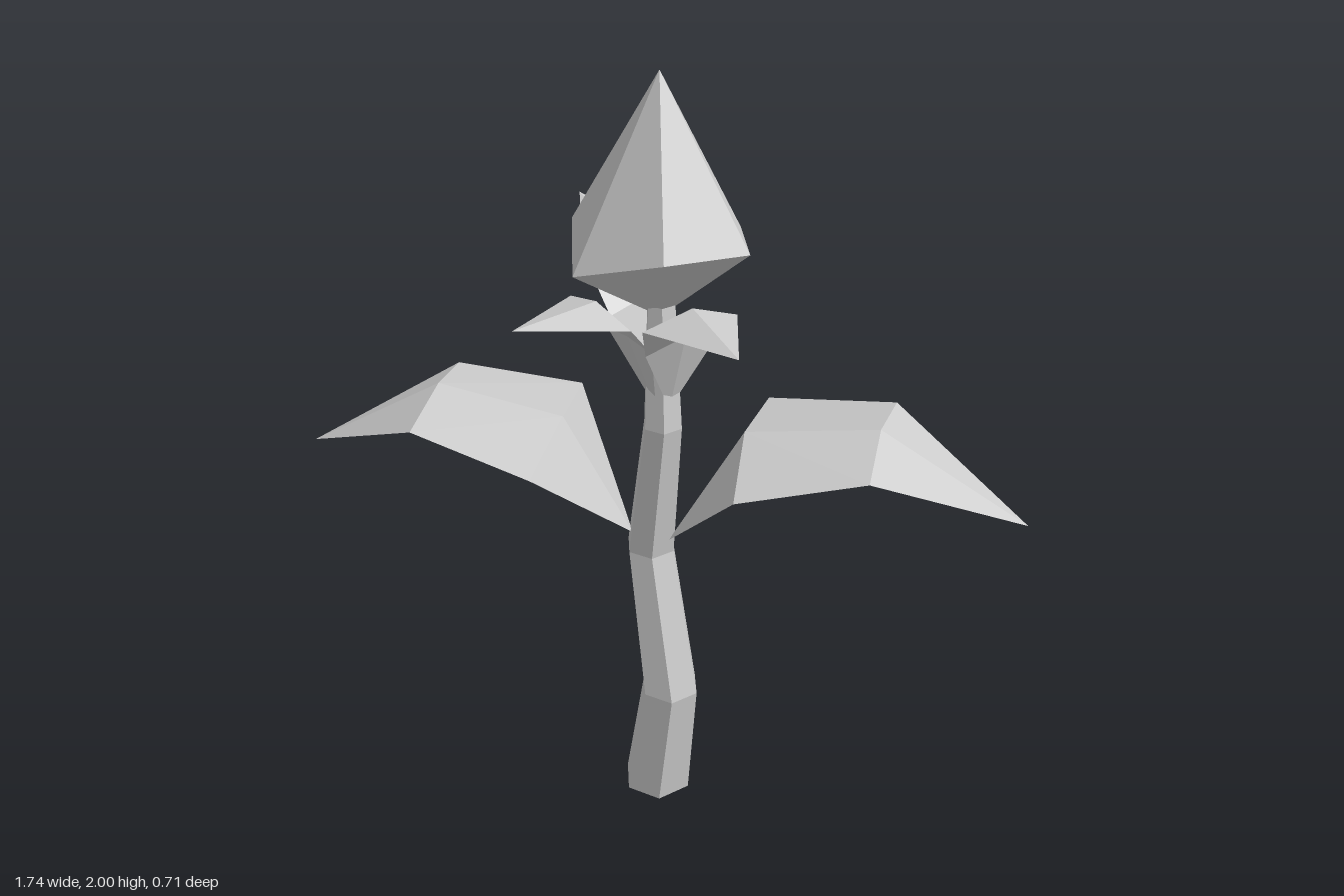
import * as THREE from 'three';

const grey = new THREE.MeshStandardMaterial({ color: 0xcccccc, flatShading: true, side: THREE.DoubleSide });
grey.name = 'plain grey';

// Faceted mesh from a list of corner triples
function facetMesh(name, triangles) {
  const geo = new THREE.BufferGeometry();
  geo.setAttribute('position', new THREE.Float32BufferAttribute(triangles.flat(2), 3));
  geo.computeVertexNormals();
  const mesh = new THREE.Mesh(geo, grey);
  mesh.name = name;
  return mesh;
}

// Six corners around a centre; height can vary per corner
function hexRing(x, z, radius, height) {
  return Array.from({ length: 6 }, (_, i) => {
    const a = (i * Math.PI) / 3;
    const y = Array.isArray(height) ? height[i] : height;
    return [x + radius * Math.cos(a), y, z - radius * Math.sin(a)];
  });
}

// Skin between consecutive hexagonal rings
function skin(rings) {
  const tris = [];
  for (let r = 0; r < rings.length - 1; r++) {
    for (let i = 0; i < 6; i++) {
      const j = (i + 1) % 6;
      const lo = rings[r], hi = rings[r + 1];
      tris.push([lo[i], lo[j], hi[j]], [lo[i], hi[j], hi[i]]);
    }
  }
  return tris;
}

// Fan from one point to a ring
function fan(point, ring, upward) {
  return ring.map((p, i) => {
    const q = ring[(i + 1) % 6];
    return upward ? [p, q, point] : [q, p, point];
  });
}

// Folded leaf: base point, two cross-sections (edge, midrib, edge), tip
function leaf(name, base, near, far, tip) {
  const tris = [];
  for (let i = 0; i < 2; i++) {
    tris.push([base, near[i], near[i + 1]]);
    tris.push([near[i], far[i], far[i + 1]], [near[i], far[i + 1], near[i + 1]]);
    tris.push([far[i], tip, far[i + 1]]);
  }
  return facetMesh(name, tris);
}

export function createModel() {
  const group = new THREE.Group();
  group.name = 'flower';

  // Crooked stem: x, z, radius, height
  const rings = [
    [0.007, -0.03, 0.093, 0],
    [0.055, -0.007, 0.077, 0.36],
    [-0.022, -0.045, 0.064, 0.76],
    [0.03, -0.007, 0.05, 1.15],
    [0.015, -0.025, 0.036, 1.46],
  ].map((r) => hexRing(...r));
  group.add(facetMesh('stem', [...skin(rings), ...fan([0.007, 0, -0.03], rings[0], false)]));

  // Closed bud with an uneven waist
  const waist = hexRing(0.004, -0.033, 0.224, [1.62, 1.585, 1.655, 1.615, 1.575, 1.65]);
  group.add(facetMesh('bud', [
    ...fan([0.004, 2, -0.033], waist, true),
    ...fan([0.01, 1.42, -0.03], waist, false),
  ]));

  // Large drooping leaves
  group.add(leaf('leftLeaf', [0.035, 0.8, -0.03],
    [[0.155, 1.08, -0.345], [0.2, 1.125, -0.1], [0.28, 1.08, 0.13]],
    [[0.485, 1.15, -0.357], [0.515, 1.185, -0.165], [0.56, 1.15, 0.015]],
    [0.865, 0.975, -0.25]));
  group.add(leaf('rightLeaf', [-0.06, 0.8, -0.02],
    [[-0.31, 1.065, -0.215], [-0.235, 1.105, 0.01], [-0.195, 1.06, 0.237]],
    [[-0.597, 1.115, -0.085], [-0.543, 1.155, 0.085], [-0.508, 1.12, 0.265]],
    [-0.872, 0.95, 0.18]));

  // Small sepals under the bud
  group.add(leaf('frontLeftSepal', [0.05, 1.2, 0],
    [[0.145, 1.395, -0.06], [0.11, 1.425, 0.04], [0.04, 1.385, 0.1]],
    [[0.23, 1.505, 0.03], [0.16, 1.54, 0.11], [0.085, 1.505, 0.2]],
    [0.35, 1.545, 0.28]));
  group.add(leaf('frontRightSepal', [0.02, 1.2, 0.01],
    [[-0.1, 1.385, 0.02], [-0.02, 1.41, 0.075], [0.05, 1.39, 0.09]],
    [[-0.138, 1.505, 0.12], [-0.05, 1.53, 0.16], [0.052, 1.495, 0.19]],
    [-0.15, 1.52, 0.35]));
  group.add(leaf('backRightSepal', [0, 1.2, -0.03],
    [[-0.02, 1.395, -0.145], [-0.065, 1.425, -0.085], [-0.11, 1.4, -0.01]],
    [[-0.1, 1.53, -0.215], [-0.165, 1.56, -0.13], [-0.2, 1.53, -0.04]],
    [-0.33, 1.57, -0.26]));

  return group;
}
